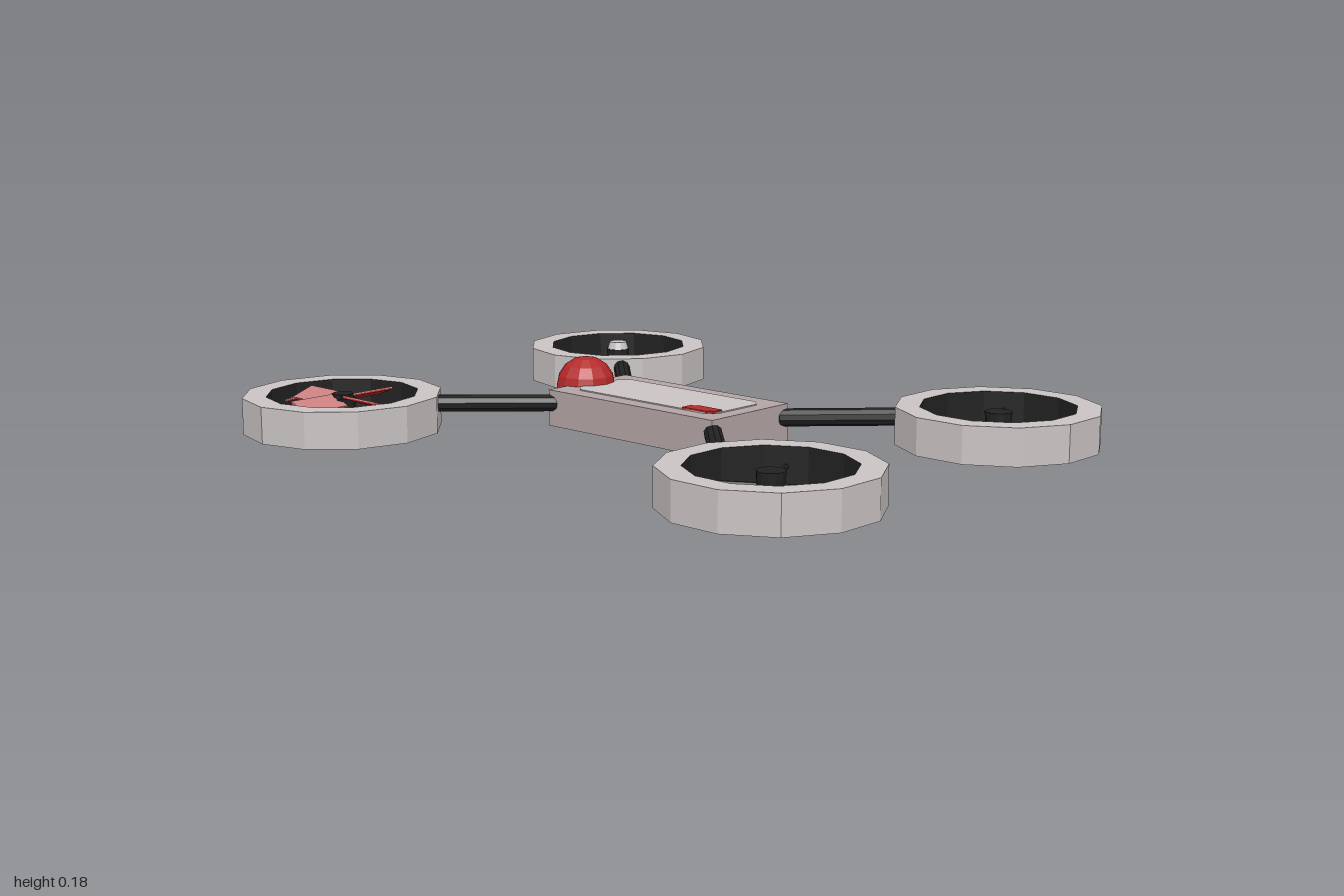
import * as THREE from 'three';

const mat = (name, color) => {
  const m = new THREE.MeshStandardMaterial({ color, flatShading: true });
  m.name = name;
  return m;
};

export function createModel() {
  const model = new THREE.Group();
  model.name = 'quadcopter';
  const light = mat('light grey', 0xcac3c3);
  const taupe = mat('warm grey', 0xb3a4a4);
  const black = mat('black', 0x222222);
  const red = mat('red', 0xb42a2a);
  const pink = mat('pale red', 0xcc8080);

  const add = (parent, name, geometry, material, x = 0, y = 0, z = 0) => {
    const mesh = new THREE.Mesh(geometry, material);
    mesh.name = name;
    mesh.position.set(x, y, z);
    parent.add(mesh);
    return mesh;
  };
  // Flat outline lying in the xz plane, given as [x, z] corners
  const plate = (points, depth) => {
    const shape = new THREE.Shape(points.map(([x, z]) => new THREE.Vector2(x, -z)));
    return new THREE.ExtrudeGeometry(shape, { depth, bevelEnabled: false }).rotateX(-Math.PI / 2);
  };
  // Rectangle with cut corners
  const cutRect = (w, l, c) => [
    [-w, l - c], [-w + c, l], [w - c, l], [w, l - c],
    [w, -l + c], [w - c, -l], [-w + c, -l], [-w, -l + c],
  ];
  const lathe = (pts) => new THREE.LatheGeometry(pts.map(([r, y]) => new THREE.Vector2(r, y)), 12);

  // Body with top and bottom panels
  add(model, 'body', new THREE.BoxGeometry(0.3, 0.1, 0.6), taupe, 0, 0.06, -0.02);
  add(model, 'topPanel', plate(cutRect(0.1, 0.255, 0.025), 0.004), light, 0, 0.109, -0.02);
  add(model, 'bottomPanel', new THREE.BoxGeometry(0.27, 0.004, 0.57), light, 0, 0.009, -0.02);
  add(model, 'statusLight', plate([
    [-0.1, 0.13], [-0.065, 0.13], [-0.065, 0.145], [-0.055, 0.145],
    [-0.055, 0.23], [-0.09, 0.23], [-0.09, 0.215], [-0.1, 0.215],
  ], 0.006), red, 0, 0.111, 0);
  add(model, 'dome', new THREE.SphereGeometry(0.084, 12, 8), red, 0, 0.099, -0.327);

  // Arms from the body corners to the ducts
  const arm = (from, to) => {
    const a = new THREE.Vector3(...from), b = new THREE.Vector3(...to);
    const mesh = add(model, 'arm', new THREE.CylinderGeometry(0.024, 0.024, a.distanceTo(b), 10), black);
    mesh.position.copy(a).lerp(b, 0.5);
    mesh.quaternion.setFromUnitVectors(new THREE.Vector3(0, 1, 0), b.clone().sub(a).normalize());
  };

  // Ring duct with dark lining, hub and four spokes
  const duct = (name, x, y, z, turn, spokeTurn) => {
    const g = new THREE.Group();
    g.name = name;
    g.position.set(x, y, z);
    model.add(g);
    const ro = 0.271, ri = 0.207, h = 0.1;
    add(g, 'ductRing', lathe([[ri, 0], [ro, 0], [ro, h], [ri, h]]), light).rotation.y = turn;
    add(g, 'ductLining', lathe([[ri, h], [ri, 0]]), black).rotation.y = turn;
    add(g, 'hub', new THREE.CylinderGeometry(0.036, 0.03, 0.09, 12), black, 0, 0.042, 0);
    for (let i = 0; i < 2; i++) {
      const spoke = new THREE.CylinderGeometry(0.007, 0.007, 0.4, 6).rotateZ(Math.PI / 2);
      add(g, 'spoke', spoke, black, 0, 0.05, 0).rotation.y = spokeTurn + i * Math.PI / 2;
    }
    return g;
  };

  for (const s of [-1, 1]) {
    arm([s * 0.13, 0.073, -0.3], [s * 0.365, 0.073, -0.545]);
    arm([s * 0.13, 0.073, 0.265], [s * 0.37, 0.073, 0.505]);
    duct('frontDuct', s * 0.457, 0.02, 0.737, Math.PI / 12, Math.PI / 6);
  }
  const rightDuct = duct('backRightDuct', -0.537, 0.002, -0.729, 0, Math.PI / 4);
  const leftDuct = duct('backLeftDuct', 0.537, 0.002, -0.729, 0, Math.PI / 4);
  add(leftDuct, 'hubCap', new THREE.CylinderGeometry(0.026, 0.034, 0.024, 12), light, 0, 0.096, 0);

  // Four-bladed propeller, pale on its upper faces and red on its edges
  const propeller = new THREE.Group();
  propeller.name = 'propeller';
  propeller.position.y = 0.078;
  rightDuct.add(propeller);
  const outline = [[0.02, -0.034], [0.02, 0.034], [0.16, 0.034], [0.162, -0.034], [0.174, -0.056], [0.15, -0.034]];
  for (let i = 0; i < 4; i++) {
    const blade = new THREE.Group();
    blade.name = 'blade';
    blade.rotation.y = i * Math.PI / 2;
    propeller.add(blade);
    for (const [y, m] of [[0, red], [0.004, pink]]) {
      const part = add(blade, 'bladeLayer', plate(outline, 0.004), m, 0, y, -0.014);
      part.rotation.x = -0.35;
    }
  }
  add(propeller, 'propellerHub', new THREE.CylinderGeometry(0.03, 0.03, 0.03, 8), black, 0, 0.006, 0);

  return model;
}
